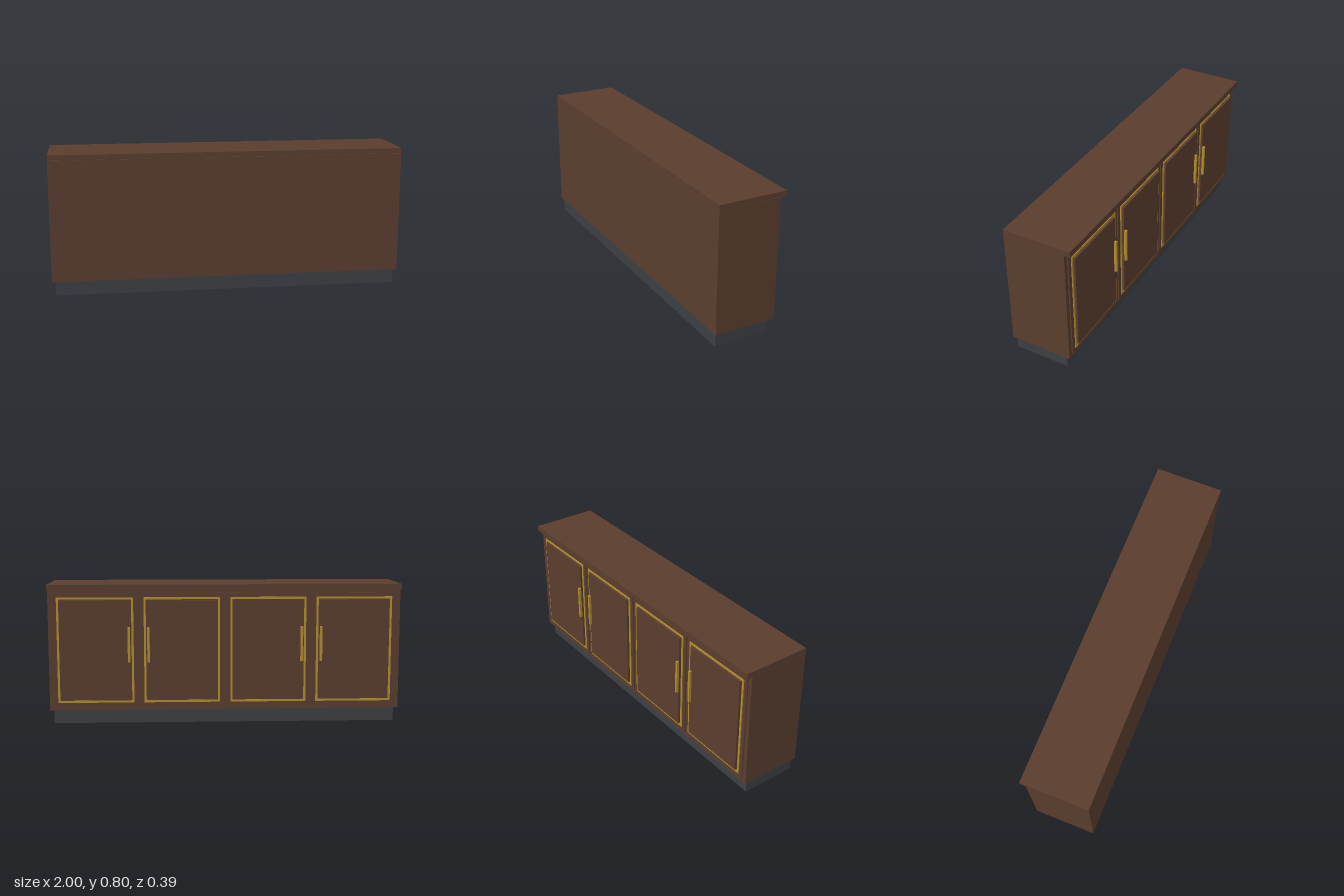
import * as THREE from 'three';

const wood = new THREE.MeshStandardMaterial({ color: 0x5a3d2e });
const brass = new THREE.MeshStandardMaterial({ color: 0xb08d2e });
const dark = new THREE.MeshStandardMaterial({ color: 0x3c4043 });

// Box given by its extents on each axis
function box(name, material, [x0, x1], [y0, y1], [z0, z1]) {
  const mesh = new THREE.Mesh(new THREE.BoxGeometry(x1 - x0, y1 - y0, z1 - z0), material);
  mesh.position.set((x0 + x1) / 2, (y0 + y1) / 2, (z0 + z1) / 2);
  mesh.name = name;
  return mesh;
}

// Flat rectangular trim ring with an open middle
function trimRing(halfWidth, y0, y1, bar, depth) {
  const rect = (Type, inset) => {
    const w = halfWidth - inset;
    return new Type([
      new THREE.Vector2(-w, y0 + inset), new THREE.Vector2(w, y0 + inset),
      new THREE.Vector2(w, y1 - inset), new THREE.Vector2(-w, y1 - inset),
    ]);
  };
  const shape = rect(THREE.Shape, 0);
  shape.holes.push(rect(THREE.Path, bar));
  return new THREE.ExtrudeGeometry(shape, { depth, bevelEnabled: false });
}

// One door with brass inlay, raised panel and a pull on the given side
function makeDoor(x, handleSide) {
  const door = new THREE.Group();
  door.name = 'door';
  door.add(box('doorSlab', wood, [-0.24, 0.24], [0.102, 0.75], [-0.167, -0.158]));

  const trim = new THREE.Mesh(trimRing(0.216, 0.125, 0.727, 0.012, 0.006), brass);
  trim.position.z = -0.171;
  trim.name = 'brassTrim';
  door.add(trim);

  door.add(box('raisedPanel', wood, [-0.198, 0.198], [0.143, 0.709], [-0.179, -0.165]));

  const hx = handleSide * 0.19;
  door.add(box('handle', brass, [hx - 0.007, hx + 0.007], [0.36, 0.56], [-0.193, -0.178]));
  door.position.x = x;
  return door;
}

export function createModel() {
  const sideboard = new THREE.Group();
  sideboard.name = 'sideboard';
  sideboard.add(
    box('plinth', dark, [-0.98, 0.98], [0, 0.081], [-0.133, 0.185]),
    box('cabinetBody', wood, [-1, 1], [0.081, 0.77], [-0.16, 0.195]),
    box('topBoard', wood, [-1, 1], [0.771, 0.8], [-0.194, 0.195]),
  );

  // Two pairs of doors, handles meeting within each pair
  for (const pair of [-1, 1]) {
    for (const side of [-1, 1]) {
      sideboard.add(makeDoor(pair * 0.49 + side * 0.245, -side));
    }
  }
  return sideboard;
}
